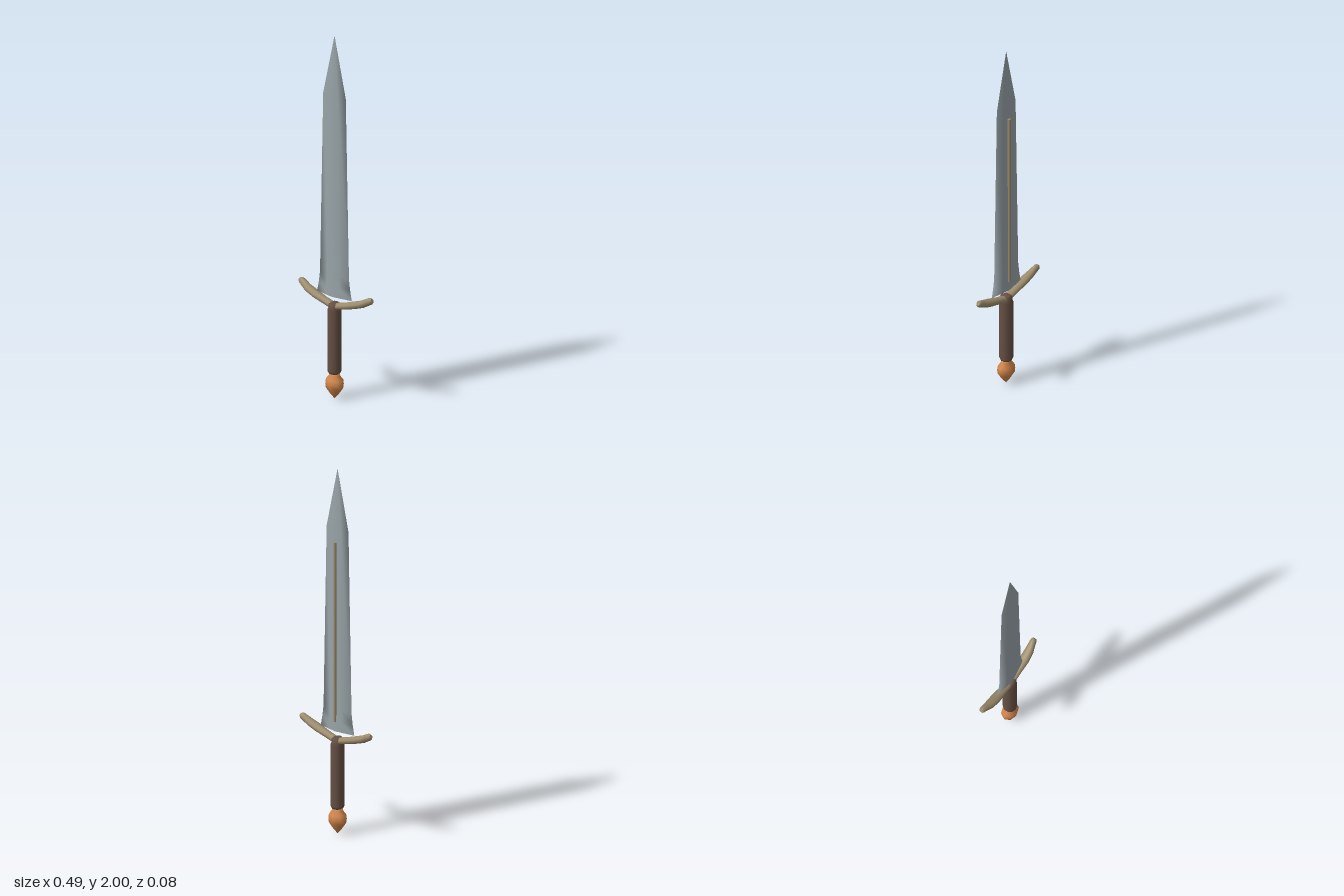
import * as THREE from 'three';

const material = (color) => new THREE.MeshStandardMaterial({ color });

// Skins a list of closed rings (arrays of [x, y, z]) and caps both ends.
function loft(rings) {
  const n = rings[0].length;
  const pos = [];
  const idx = [];
  rings.forEach((r) => r.forEach((p) => pos.push(...p)));
  for (let i = 0; i < rings.length - 1; i++) {
    for (let j = 0; j < n; j++) {
      const a = i * n + j;
      const b = i * n + ((j + 1) % n);
      idx.push(a, b, a + n, b, b + n, a + n);
    }
  }
  // End caps with their own vertices
  [rings[0], rings[rings.length - 1]].forEach((ring, end) => {
    const base = pos.length / 3;
    ring.forEach((p) => pos.push(...p));
    for (let j = 1; j < n - 1; j++) {
      if (end) idx.push(base, base + j, base + j + 1);
      else idx.push(base, base + j + 1, base + j);
    }
  });
  const g = new THREE.BufferGeometry();
  g.setAttribute('position', new THREE.Float32BufferAttribute(pos, 3));
  g.setIndex(idx);
  g.computeVertexNormals();
  return g;
}

// Faceted turned part from [radius, y] pairs
const turned = (profile, sides) =>
  new THREE.LatheGeometry(profile.map(([r, y]) => new THREE.Vector2(r, y)), sides);

export function createModel() {
  const sword = new THREE.Group();
  sword.name = 'sword';
  const add = (name, geometry, mat) => {
    const mesh = new THREE.Mesh(geometry, mat);
    mesh.name = name;
    sword.add(mesh);
    return mesh;
  };

  // Blade: diamond sections [y, half width, half depth], flared at the base
  const bladeRings = [
    [0.565, 0.115, 0.02],
    [0.62, 0.104, 0.02],
    [0.68, 0.096, 0.019],
    [1.67, 0.075, 0.014],
    [2.0, 0.0005, 0.0005],
  ].map(([y, w, d]) => [
    [w, y, 0], [w * 0.4, y, -d * 0.64], [0, y, -d], [-w * 0.4, y, -d * 0.64],
    [-w, y, 0], [-w * 0.4, y, d * 0.64], [0, y, d], [w * 0.4, y, d * 0.64],
  ]);
  add('blade', loft(bladeRings), material(0x98a3a7));

  // Thin rod along the back of the blade
  const guardMat = material(0x9c8b6b);
  const rod = add('backRod', new THREE.CylinderGeometry(0.008, 0.008, 0.98, 8), guardMat);
  rod.position.set(0, 1.11, -0.02);

  // Guard: two upswept arms as one loft, sections [x, y, z, half height, half depth]
  const arm = [
    [0.03, 0.516, 0, 0.018, 0.023],
    [0.07, 0.527, 0, 0.018, 0.023],
    [0.13, 0.546, -0.001, 0.02, 0.027],
    [0.18, 0.564, -0.004, 0.02, 0.024],
    [0.215, 0.583, -0.01, 0.019, 0.018],
    [0.232, 0.592, -0.012, 0.018, 0.016],
    [0.24, 0.596, -0.012, 0.01, 0.01],
  ];
  const stations = [
    ...arm.map(([x, ...rest]) => [-x, ...rest]).reverse(),
    [0, 0.507, 0, 0.018, 0.023],
    ...arm,
  ];
  const guardRings = stations.map(([x, y, z, h, d], i) => {
    const a = stations[Math.max(i - 1, 0)];
    const b = stations[Math.min(i + 1, stations.length - 1)];
    const slope = Math.atan2(b[1] - a[1], b[0] - a[0]);
    return Array.from({ length: 10 }, (_, j) => {
      const t = (j / 10) * Math.PI * 2;
      const up = Math.cos(t) * h;
      return [x - Math.sin(slope) * up, y + Math.cos(slope) * up, z + Math.sin(t) * d];
    });
  });
  add('guard', loft(guardRings), guardMat);

  // Grip with a narrowed collar under the guard
  add('grip', turned([
    [0, 0.14], [0.03, 0.14], [0.037, 0.155], [0.037, 0.49],
    [0.032, 0.5], [0.032, 0.522], [0.02, 0.53], [0, 0.53],
  ], 10), material(0x665044));

  // Pointed pommel, slightly flattened front to back
  const pommel = add('pommel', turned([
    [0, 0], [0.026, 0.028], [0.05, 0.06], [0.053, 0.082], [0.05, 0.105],
    [0.03, 0.128], [0.032, 0.145], [0, 0.145],
  ], 8), material(0xd2864a));
  pommel.scale.z = 0.78;

  return sword;
}
